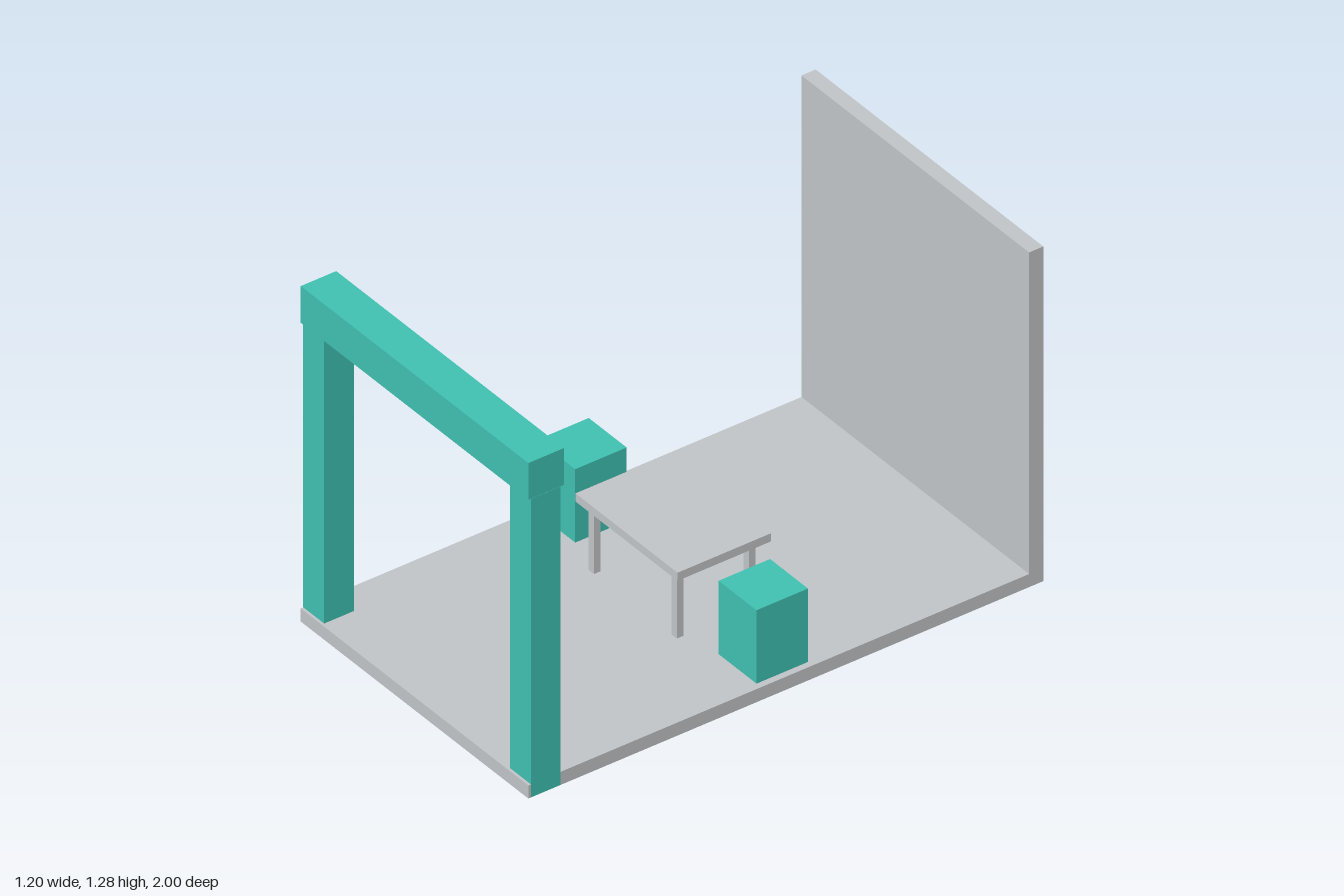
import * as THREE from 'three';

export function createModel() {
  const model = new THREE.Group();
  const grey = new THREE.MeshStandardMaterial({ color: 0xc2c5c8 });
  grey.name = 'light grey';
  const teal = new THREE.MeshStandardMaterial({ color: 0x40c1b2 });
  teal.name = 'teal';

  // Box given by its extents along each axis
  function box(name, material, [x0, x1], [y0, y1], [z0, z1], parent = model) {
    const mesh = new THREE.Mesh(new THREE.BoxGeometry(x1 - x0, y1 - y0, z1 - z0), material);
    mesh.position.set((x0 + x1) / 2, (y0 + y1) / 2, (z0 + z1) / 2);
    mesh.name = name;
    parent.add(mesh);
  }

  // Floor slab and back wall
  box('floor', grey, [-0.6, 0.6], [0, 0.05], [-1, 1]);
  box('backWall', grey, [-0.6, 0.6], [0.05, 1.277], [-1, -0.945]);

  // Entrance gate: posts pass through the floor, a hair proud of its sides
  const gate = new THREE.Group();
  gate.name = 'gate';
  model.add(gate);
  box('leftPost', teal, [0.49, 0.601], [0.001, 1.14], [0.875, 0.99], gate);
  box('rightPost', teal, [-0.601, -0.49], [-0.001, 1.14], [0.875, 0.99], gate);
  box('gateBeam', teal, [-0.6, 0.6], [1.14, 1.28], [0.862, 1], gate);

  // Table with four legs
  const table = new THREE.Group();
  table.name = 'table';
  model.add(table);
  box('tableTop', grey, [-0.27, 0.268], [0.302, 0.333], [-0.187, 0.176], table);
  for (const x of [-0.221, 0.216])
    for (const z of [-0.142, 0.138])
      box('tableLeg', grey, [x - 0.014, x + 0.014], [0.05, 0.302], [z - 0.013, z + 0.013], table);

  // Block stools at either end of the table
  for (const x of [-0.48, 0.476])
    box('stool', teal, [x - 0.1, x + 0.1], [0.05, 0.33], [-0.104, 0.096]);

  return model;
}
